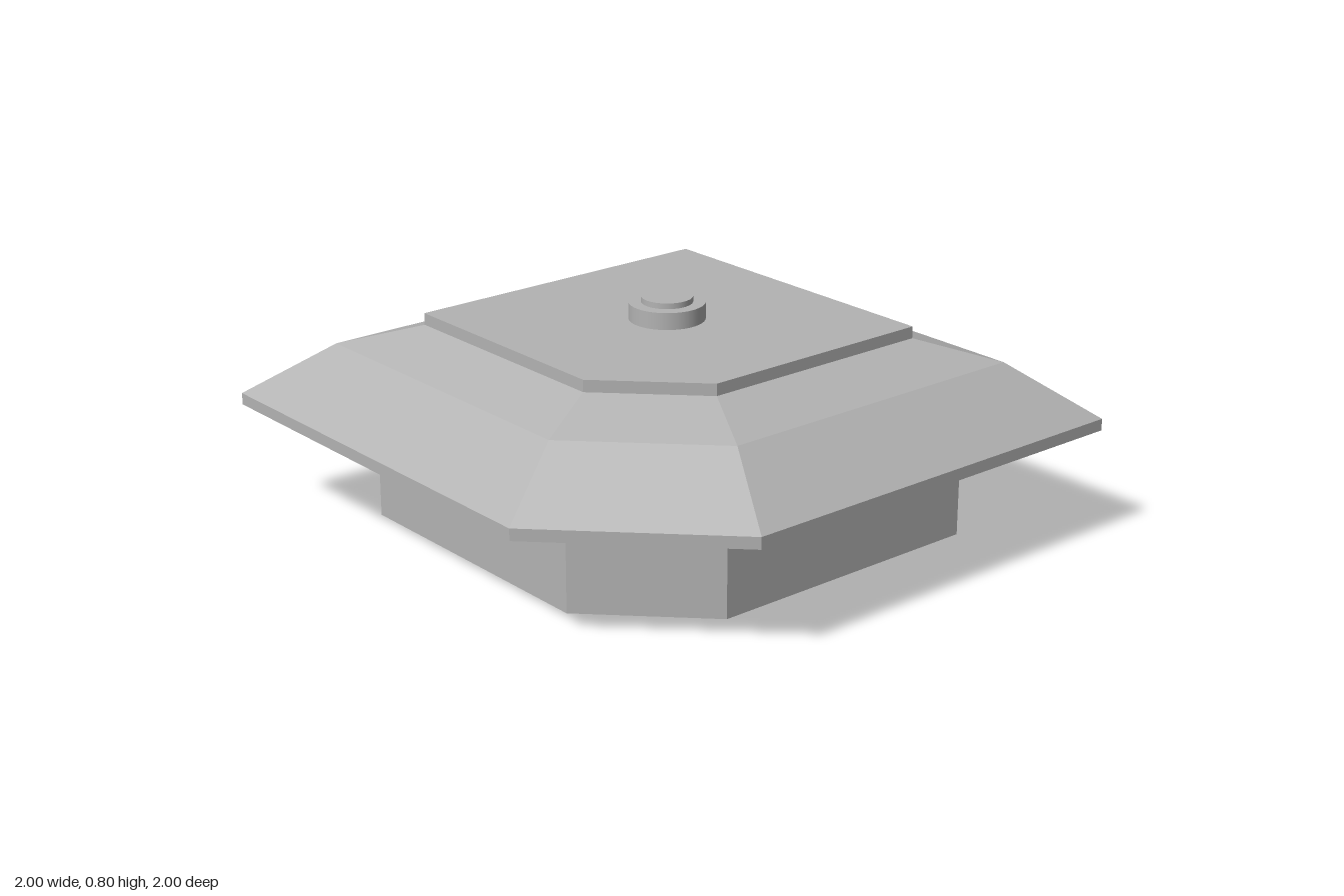
import * as THREE from 'three';

// Square outline with one corner cut off: [min, max, start of cut, height]
const WALL_BOTTOM = [-0.695, 0.67, 0.32, 0];
const WALL_TOP = [-0.695, 0.67, 0.32, 0.385];
const EAVE_LOW = [-1, 1, 0.483, 0.39];
const EAVE_HIGH = [-1, 1, 0.483, 0.43];
const ROOF_BEND = [-0.78, 0.762, 0.367, 0.61];
const ROOF_TOP = [-0.577, 0.547, 0.26, 0.68];
const SLAB_TOP = [-0.577, 0.547, 0.26, 0.72];

const outline = ([min, max, cut, y]) => [
  [min, y, min], [max, y, min], [max, y, cut], [cut, y, max], [min, y, max],
];

// Flat-faced skin through the outlines, optionally closed on top
function loft(levels, capped = false) {
  const rings = levels.map(outline);
  const positions = [];
  for (let k = 0; k < rings.length - 1; k++) {
    const low = rings[k], high = rings[k + 1];
    for (let i = 0; i < low.length; i++) {
      const j = (i + 1) % low.length;
      positions.push(...low[j], ...low[i], ...high[i], ...low[j], ...high[i], ...high[j]);
    }
  }
  if (capped) {
    const top = rings[rings.length - 1];
    for (let i = 1; i < top.length - 1; i++) positions.push(...top[0], ...top[i + 1], ...top[i]);
  }
  const geometry = new THREE.BufferGeometry();
  geometry.setAttribute('position', new THREE.Float32BufferAttribute(positions, 3));
  geometry.computeVertexNormals();
  return geometry;
}

export function createModel() {
  const model = new THREE.Group();
  const grey = new THREE.MeshStandardMaterial({ color: 0xb3b3b3, side: THREE.DoubleSide });
  grey.name = 'grey';

  const add = (name, geometry) => {
    const mesh = new THREE.Mesh(geometry, grey);
    mesh.name = name;
    model.add(mesh);
    return mesh;
  };

  // Hollow shell, open at the bottom
  add('walls', loft([WALL_BOTTOM, WALL_TOP]));
  add('eaveUnderside', loft([WALL_TOP, EAVE_LOW]));
  add('eaveEdge', loft([EAVE_LOW, EAVE_HIGH]));
  add('roofSlopes', loft([EAVE_HIGH, ROOF_BEND, ROOF_TOP]));
  add('topSlab', loft([ROOF_TOP, SLAB_TOP], true));

  // Stepped round cap
  const disc = (name, radius, bottom, top) => {
    const mesh = add(name, new THREE.CylinderGeometry(radius, radius, top - bottom, 48, 1));
    mesh.position.set(-0.03, (bottom + top) / 2, -0.03);
  };
  disc('capBase', 0.126, 0.72, 0.777);
  disc('capButton', 0.085, 0.777, 0.796);

  return model;
}
